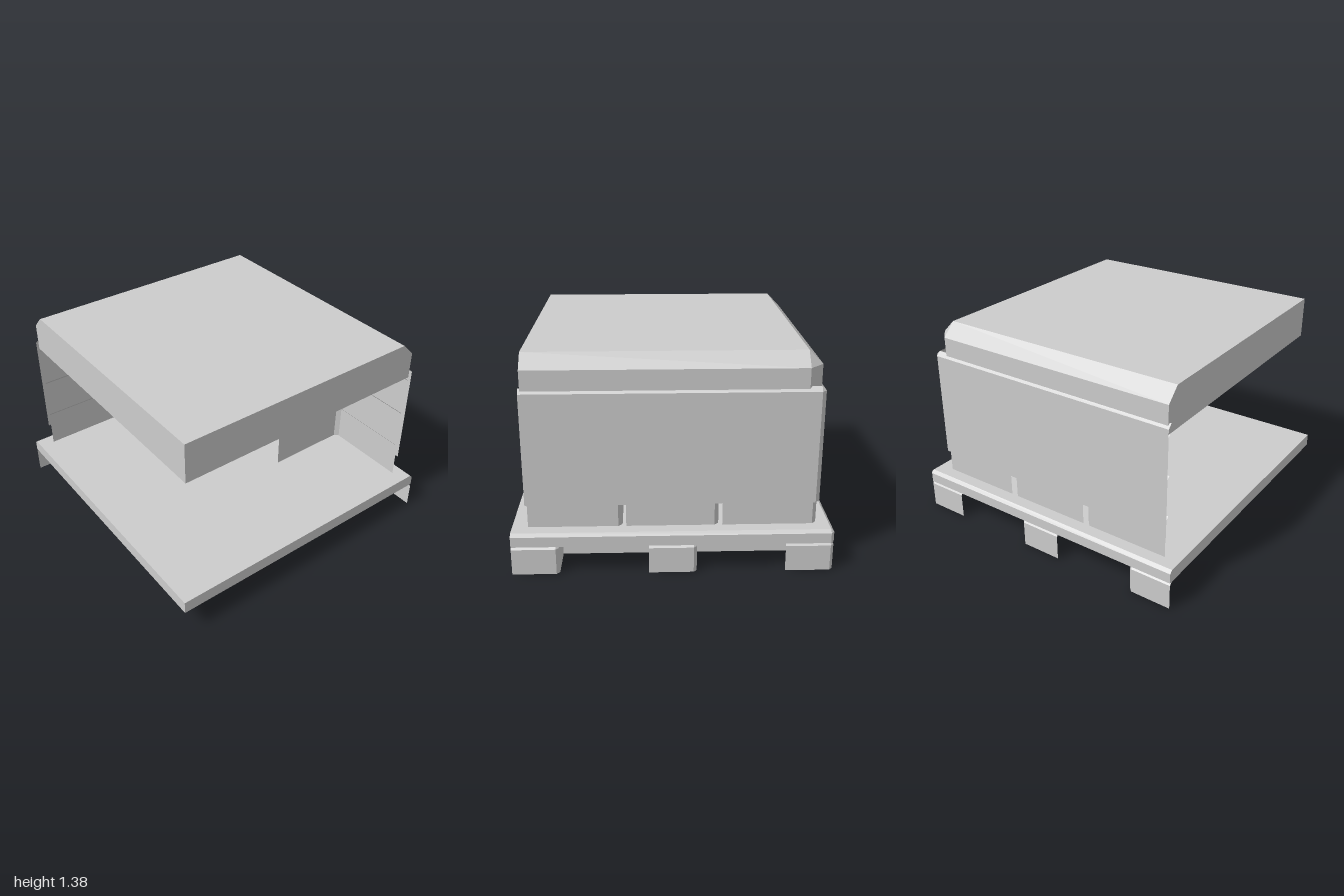
import * as THREE from 'three';

const grey = new THREE.MeshStandardMaterial({ color: 0xcccccc, side: THREE.DoubleSide });
grey.name = 'plainGrey';

// Bevelled block built from stacked loops. Spans are [min, max] in x, in s = -z, and in y.
// Only the +x and -z sides are bevelled. A plain block has just those two sides;
// a covered block has all four sides and a top, and is open below.
function block(name, [x0, x1], [s0, s1], [y0, y1], c, covered = false) {
  const wide = [[x0, s1], [x1 - c, s1], [x1, s1 - c], [x1, s0]];
  const narrow = [[x0, s1 - c], [x1 - c, s1 - c], [x1 - c, s1 - c], [x1 - c, s0]];
  if (covered) {
    wide.push([x0, s0]);
    narrow.push([x0, s0]);
  }
  const level = (loop, y) => loop.map(([x, s]) => new THREE.Vector3(x, y, -s));
  const loops = [level(wide, y0), level(wide, y1 - c), level(narrow, y1)];
  const points = [];
  const tri = (a, b, d) => {
    const area = new THREE.Triangle(a, b, d).getArea();
    if (area > 1e-8) points.push(a, b, d);
  };

  // walls and bevels
  const n = wide.length;
  for (let k = 0; k < 2; k++) {
    for (let i = 0; i < (covered ? n : n - 1); i++) {
      const j = (i + 1) % n;
      tri(loops[k][i], loops[k + 1][i], loops[k + 1][j]);
      tri(loops[k][i], loops[k + 1][j], loops[k][j]);
    }
  }
  // top
  if (covered) {
    for (let i = 1; i < n - 1; i++) tri(loops[2][0], loops[2][i + 1], loops[2][i]);
  }
  const geometry = new THREE.BufferGeometry().setFromPoints(points);
  geometry.computeVertexNormals();
  const mesh = new THREE.Mesh(geometry, grey);
  mesh.name = name;
  return mesh;
}

// L-shaped row of plain blocks along the back and the +x side
function cornerRow(name, spans, ySpan, c) {
  const row = new THREE.Group();
  row.name = name + 'Row';
  const last = spans.length - 1;
  spans.forEach((xs, i) => spans.forEach((ss, j) => {
    if (i === last || j === last) row.add(block(name, xs, ss, ySpan, c));
  }));
  return row;
}

export function createModel() {
  const model = new THREE.Group();
  model.name = 'loadedPallet';

  // pallet: feet, open inner skirt and deck
  model.add(cornerRow('palletFoot', [[-1, -0.705], [-0.15, 0.148], [0.7, 1]], [0, 0.19], 0.02));
  const skirtGeometry = new THREE.CylinderGeometry(0.75 * Math.SQRT2, 0.75 * Math.SQRT2, 0.19, 4, 1, true)
    .rotateY(Math.PI / 4).translate(0, 0.095, 0).toNonIndexed();
  skirtGeometry.computeVertexNormals();
  const skirt = new THREE.Mesh(skirtGeometry, grey);
  skirt.name = 'palletSkirt';
  model.add(skirt);
  model.add(block('palletDeck', [-1, 1], [-1, 1], [0.188, 0.275], 0.02, true));

  // three layers of boxes with staggered joints
  const thirds = [[-0.9, -0.313], [-0.29, 0.287], [0.31, 0.9]];
  const halves = [[-0.9, -0.012], [0.01, 0.9]];
  [thirds, halves, thirds].forEach((spans, i) => {
    const y = 0.275 + 0.276 * i;
    model.add(cornerRow('box', spans, [y, y + 0.276], 0.026));
  });

  // wrapping round the boxes and the lid on top
  model.add(block('wrap', [-0.912, 0.914], [-0.912, 0.914], [0.427, 1.175], 0.028));
  model.add(block('lid', [-0.9, 0.9], [-0.9, 0.9], [1.103, 1.377], 0.088, true));
  return model;
}
